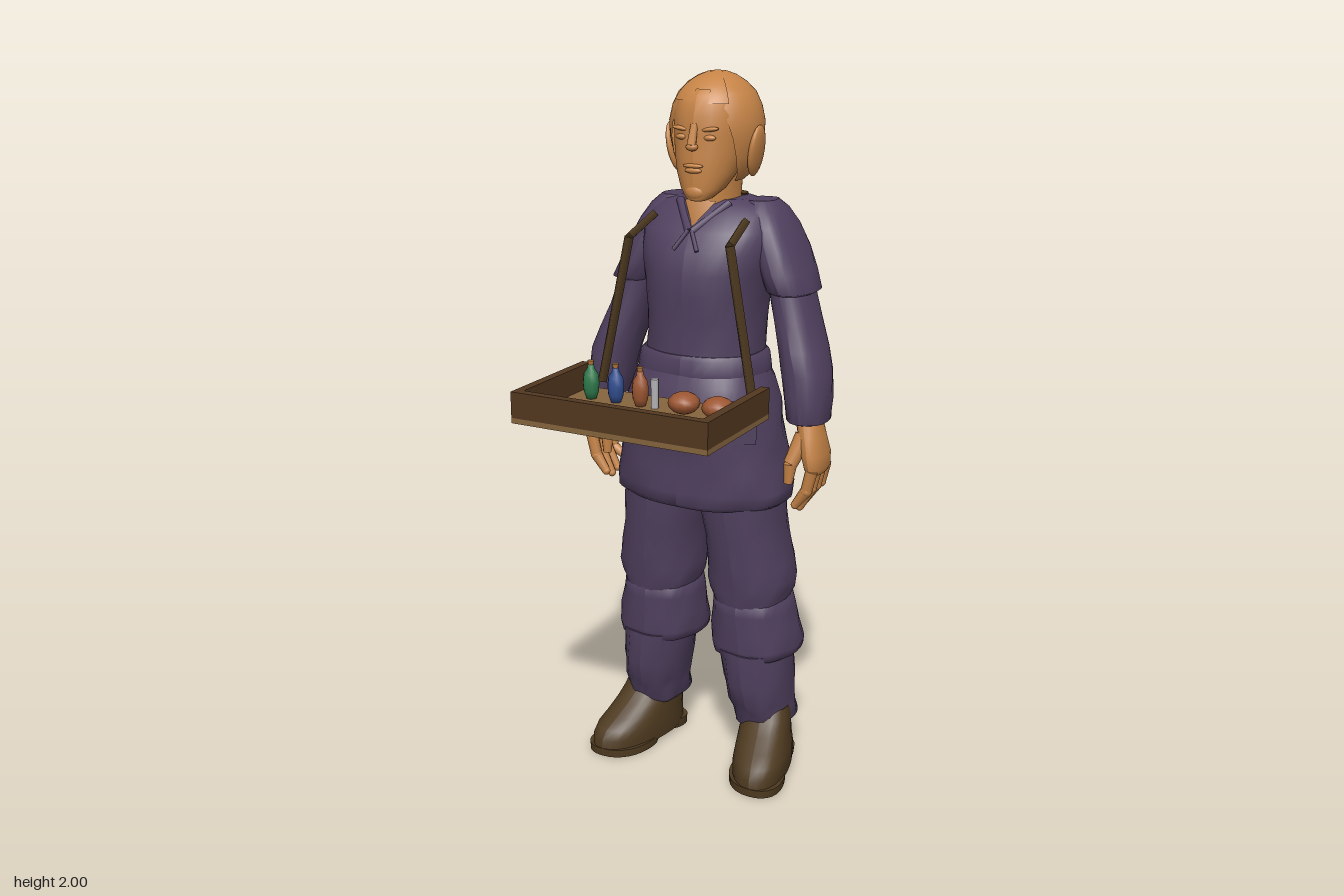
import * as THREE from 'three';

const mat = (name, color, side = THREE.FrontSide) => {
  const m = new THREE.MeshStandardMaterial({ color, side });
  m.name = name;
  return m;
};

// Stacks rings [y, centreX, centreZ, radiusX, radiusZ, frontOpening] from bottom to top.
// s mirrors x, fold adds soft cloth creases, pow squares the rings a little.
function loft(rows, { s = 1, n = 28, fold = 0, pow = 0.88 } = {}) {
  const pos = [], idx = [];
  const open = rows[0].length > 5;
  const sq = (v) => Math.sign(v) * Math.abs(v) ** pow;
  rows.forEach(([y, cx, cz, rx, rz, gap = 0]) => {
    for (let j = 0; j <= n; j++) {
      const a = gap + (2 * Math.PI - 2 * gap) * (j / n);
      const k = 1 + fold * Math.sin(5 * a + y * 31) + fold * 0.6 * Math.sin(9 * a - y * 47);
      pos.push(s * cx + rx * k * sq(Math.sin(a)), y, cz + rz * k * sq(Math.cos(a)));
    }
  });
  const w = n + 1;
  for (let i = 0; i < rows.length - 1; i++) {
    for (let j = 0; j < n; j++) {
      const a = i * w + j;
      idx.push(a, a + 1, a + w + 1, a, a + w + 1, a + w);
    }
  }
  if (!open) {
    [0, rows.length - 1].forEach((r) => {
      const start = pos.length / 3, ring = r * w;
      for (let j = 0; j < w; j++) pos.push(...pos.slice((ring + j) * 3, (ring + j) * 3 + 3));
      pos.push(s * rows[r][1], rows[r][0], rows[r][2]);
      for (let j = 0; j < n; j++) {
        if (r) idx.push(start + j, start + j + 1, start + w);
        else idx.push(start + j + 1, start + j, start + w);
      }
    });
  }
  const g = new THREE.BufferGeometry();
  g.setAttribute('position', new THREE.Float32BufferAttribute(pos, 3));
  g.setIndex(idx);
  g.computeVertexNormals();
  return g;
}

export function createModel() {
  const root = new THREE.Group();
  root.name = 'trayVendor';
  const skin = mat('skin', 0xc68447, THREE.DoubleSide);
  const cloth = mat('purpleCloth', 0x50405f);
  const leather = mat('leather', 0x4e3a20);
  const darkWood = mat('darkWood', 0x533820);
  const wood = mat('wood', 0x86653e);
  const green = mat('greenGlass', 0x2f7a4c);
  const blue = mat('blueGlass', 0x324f91);
  const clay = mat('clay', 0x9c5631);
  const silver = mat('silver', 0xb4b4b8);
  const ochre = mat('ochre', 0xb5783c);

  const add = (name, geo, material, p = [0, 0, 0], r = [0, 0, 0], sc = [1, 1, 1]) => {
    const m = new THREE.Mesh(geo, material);
    m.name = name;
    m.position.set(...p);
    m.rotation.set(...r);
    m.scale.set(...sc);
    root.add(m);
    return m;
  };
  const ball = (name, material, p, sc, r) => add(name, new THREE.SphereGeometry(1, 18, 12), material, p, r, sc);
  // Straight rod between two points
  const rod = (name, material, a, b, r0, r1 = r0, sides = 8) => {
    const A = new THREE.Vector3(...a), B = new THREE.Vector3(...b);
    const m = add(name, new THREE.CylinderGeometry(r1, r0, A.distanceTo(B), sides), material);
    m.position.copy(A).lerp(B, 0.5);
    m.quaternion.setFromUnitVectors(new THREE.Vector3(0, 1, 0), B.sub(A).normalize());
    return m;
  };

  // Tunic: flared skirt, belted waist, chest and shoulders
  add('tunicSkirt', loft([
    [0.83, 0, -0.18, 0.235, 0.16], [0.845, 0, -0.18, 0.256, 0.177], [0.88, 0, -0.18, 0.26, 0.18],
    [0.94, 0, -0.178, 0.25, 0.178], [1.0, 0, -0.17, 0.238, 0.172], [1.06, 0, -0.165, 0.23, 0.174],
    [1.12, 0, -0.163, 0.22, 0.174], [1.18, 0, -0.168, 0.198, 0.162], [1.23, 0, -0.175, 0.175, 0.147],
  ], { n: 48, fold: 0.014 }), cloth);
  add('waistband', loft([
    [1.2, 0, -0.175, 0.178, 0.15], [1.21, 0, -0.175, 0.187, 0.157], [1.25, 0, -0.178, 0.18, 0.153], [1.262, 0, -0.178, 0.168, 0.145],
  ], { n: 40, fold: 0.012 }), cloth);
  add('tunicBody', loft([
    [1.24, 0, -0.178, 0.166, 0.142], [1.3, 0, -0.182, 0.164, 0.144], [1.36, 0, -0.188, 0.164, 0.152],
    [1.42, 0, -0.194, 0.168, 0.162], [1.48, 0, -0.198, 0.178, 0.164], [1.54, 0, -0.205, 0.192, 0.158],
    [1.59, 0, -0.218, 0.195, 0.142], [1.63, 0, -0.235, 0.18, 0.118], [1.655, 0, -0.242, 0.15, 0.096], [1.667, 0, -0.242, 0.1, 0.08],
  ], { n: 40, fold: 0.01 }), cloth);
  // Neckline, lacing, pocket and hanging ties
  add('neckOpening', new THREE.ConeGeometry(0.055, 0.08, 3), skin, [0, 1.632, -0.118], [Math.PI - 0.8, 0, 0], [1, 1, 0.35]);
  add('napeCollar', loft([[1.615, 0, -0.31, 0.03, 0.035], [1.64, 0, -0.302, 0.06, 0.04], [1.672, 0, -0.285, 0.068, 0.045]]), leather);
  for (const s of [1, -1]) {
    rod('collarTie', cloth, [s * 0.005, 1.595, -0.078], [s * 0.035, 1.545, -0.05], 0.006);
    rod('neckHem', cloth, [s * 0.005, 1.59, -0.082], [s * 0.075, 1.66, -0.165], 0.012);
    rod('waistTie', cloth, [s * 0.01, 1.23, -0.325], [s * 0.05, 1.06, -0.333], 0.014, 0.01);
  }
  add('hipPocket', new THREE.BoxGeometry(0.12, 0.11, 0.03), cloth, [0.155, 1.09, -0.045], [0, 0.6, -0.05]);
  add('pocketFlap', new THREE.BoxGeometry(0.128, 0.035, 0.036), cloth, [0.155, 1.135, -0.043], [0, 0.6, -0.05]);

  for (const s of [1, -1]) {
    // Sleeves
    add('shortSleeve', loft([
      [1.425, 0.236, -0.235, 0.056, 0.085], [1.432, 0.238, -0.235, 0.066, 0.1], [1.48, 0.216, -0.242, 0.066, 0.108],
      [1.54, 0.192, -0.25, 0.064, 0.11], [1.6, 0.164, -0.255, 0.06, 0.1], [1.64, 0.142, -0.255, 0.054, 0.08], [1.665, 0.13, -0.255, 0.04, 0.05],
    ], { s, fold: 0.02 }), cloth);
    add('longSleeve', loft([
      [1.085, 0.312, -0.18, 0.045, 0.058], [1.09, 0.314, -0.18, 0.056, 0.07], [1.15, 0.308, -0.188, 0.06, 0.08],
      [1.22, 0.298, -0.2, 0.064, 0.087], [1.28, 0.28, -0.212, 0.062, 0.088], [1.35, 0.256, -0.225, 0.058, 0.086], [1.45, 0.226, -0.238, 0.054, 0.086],
    ], { s, fold: 0.025 }), cloth);
    // Hand with curled fingers
    add('palm', loft([
      [0.945, 0.345, -0.178, 0.02, 0.052], [0.96, 0.345, -0.178, 0.027, 0.062], [1.0, 0.34, -0.175, 0.033, 0.064],
      [1.05, 0.328, -0.175, 0.033, 0.054], [1.1, 0.315, -0.178, 0.034, 0.044],
    ], { s, n: 20 }), skin);
    for (let f = 0; f < 4; f++) {
      const z = -0.13 - f * 0.032, tip = [0.855, 0.84, 0.848, 0.88][f];
      rod('fingerBase', skin, [s * 0.348, 0.96, z], [s * 0.334, 0.9, z], 0.018, 0.017);
      ball('knuckle', skin, [s * 0.334, 0.9, z], [0.017, 0.017, 0.017]);
      rod('fingerTip', skin, [s * 0.334, 0.9, z], [s * 0.302, tip, z], 0.017, 0.012);
      ball('fingerEnd', skin, [s * 0.302, tip, z], [0.012, 0.012, 0.012]);
    }
    rod('thumbBase', skin, [s * 0.315, 1.05, -0.15], [s * 0.29, 0.975, -0.118], 0.026, 0.02);
    rod('thumbTip', skin, [s * 0.29, 0.975, -0.118], [s * 0.287, 0.92, -0.113], 0.019, 0.012);

    // Trouser leg, gathered knee cuff and shin
    add('trouserLeg', loft([
      [0.5, 0.148, -0.2, 0.1, 0.112], [0.54, 0.145, -0.198, 0.108, 0.118], [0.565, 0.145, -0.2, 0.118, 0.124], [0.6, 0.145, -0.2, 0.123, 0.128],
      [0.65, 0.142, -0.196, 0.119, 0.129], [0.73, 0.132, -0.186, 0.112, 0.128], [0.8, 0.124, -0.18, 0.116, 0.13], [0.9, 0.12, -0.18, 0.118, 0.135],
    ], { s, fold: 0.018 }), cloth);
    add('kneeCuff', loft([
      [0.355, 0.155, -0.222, 0.1, 0.11], [0.365, 0.155, -0.225, 0.124, 0.134], [0.39, 0.155, -0.225, 0.13, 0.138],
      [0.44, 0.152, -0.215, 0.125, 0.128], [0.5, 0.148, -0.205, 0.116, 0.122], [0.535, 0.146, -0.2, 0.111, 0.118], [0.545, 0.146, -0.2, 0.09, 0.1],
    ], { s, fold: 0.018 }), cloth);
    add('shin', loft([
      [0.125, 0.18, -0.235, 0.07, 0.09], [0.14, 0.18, -0.238, 0.086, 0.107], [0.18, 0.178, -0.23, 0.083, 0.108],
      [0.21, 0.174, -0.22, 0.088, 0.115], [0.28, 0.168, -0.207, 0.094, 0.122], [0.38, 0.158, -0.207, 0.1, 0.125],
    ], { s, fold: 0.028 }), cloth);

    // Boot with toes turned outward
    const splay = (g) => {
      const p = g.attributes.position;
      for (let i = 0; i < p.count; i++) p.setX(i, p.getX(i) + s * 0.2 * (p.getZ(i) + 0.18));
      g.computeVertexNormals();
      return g;
    };
    add('bootUpper', splay(loft([
      [0.015, 0.205, -0.152, 0.083, 0.167], [0.05, 0.205, -0.152, 0.085, 0.166], [0.075, 0.205, -0.16, 0.083, 0.155],
      [0.1, 0.202, -0.178, 0.079, 0.134], [0.13, 0.2, -0.2, 0.076, 0.108], [0.16, 0.198, -0.218, 0.075, 0.086], [0.19, 0.195, -0.225, 0.074, 0.074],
    ], { s })), leather);
    add('bootSole', splay(loft([[0, 0.205, -0.085, 0.084, 0.1], [0.024, 0.205, -0.085, 0.085, 0.101]], { s })), leather);
    add('bootHeel', splay(loft([[0, 0.205, -0.265, 0.07, 0.058], [0.03, 0.205, -0.262, 0.074, 0.058]], { s })), leather);

    // Shoulder strap in two straight pieces
    const strap = [[0.23, 1.17, 0.002], [0.15, 1.575, -0.015], [0.138, 1.62, -0.13]].map(([x, y, z]) => [s * x, y, z]);
    rod('strapFront', leather, strap[0], strap[1], 0.014, 0.014, 4);
    rod('strapTop', leather, strap[1], strap[2], 0.014, 0.014, 4);
  }

  // Head: neck, face and hair shell
  add('neck', loft([[1.6, 0, -0.225, 0.075, 0.08], [1.66, 0, -0.225, 0.065, 0.085], [1.76, 0, -0.228, 0.068, 0.09]]), skin);
  add('face', loft([
    [1.668, 0, -0.125, 0.02, 0.02], [1.675, 0, -0.13, 0.036, 0.034], [1.7, 0, -0.155, 0.06, 0.06], [1.74, 0, -0.18, 0.08, 0.087],
    [1.79, 0, -0.2, 0.094, 0.106], [1.84, 0, -0.21, 0.1, 0.112], [1.89, 0, -0.215, 0.102, 0.119], [1.94, 0, -0.225, 0.09, 0.112], [1.975, 0, -0.235, 0.055, 0.07],
  ], { pow: 0.95 }), skin);
  add('hair', loft([
    [1.715, 0, -0.232, 0.075, 0.085, 1.2], [1.735, 0, -0.235, 0.098, 0.1, 1.05], [1.78, 0, -0.235, 0.118, 0.115, 0.9],
    [1.83, 0, -0.234, 0.129, 0.123, 0.78], [1.87, 0, -0.234, 0.13, 0.126, 0.68], [1.91, 0, -0.234, 0.121, 0.12, 0.58],
    [1.945, 0, -0.234, 0.104, 0.106, 0.4], [1.97, 0, -0.234, 0.079, 0.082, 0], [1.988, 0, -0.234, 0.05, 0.054, 0],
    [1.997, 0, -0.234, 0.025, 0.028, 0], [2.0, 0, -0.234, 0.001, 0.001, 0],
  ], { n: 36, pow: 1 }), skin);
  // Curved fringe locks over the brow
  const lock = (from, to, low) => add('fringe', new THREE.SphereGeometry(1, 10, 6, Math.PI / 2 + from, to - from, 0.25, low - 0.25),
    skin, [0, 1.857, -0.234], [0, 0, 0], [0.134, 0.142, 0.145]);
  lock(-0.75, -0.1, 1.05);
  lock(-0.1, 0.3, 0.8);
  lock(0.3, 0.75, 1.1);
  rod('noseBridge', skin, [0, 1.87, -0.102], [0, 1.815, -0.084], 0.01, 0.013);
  ball('noseTip', skin, [0, 1.812, -0.087], [0.017, 0.011, 0.013]);
  ball('upperLip', skin, [0, 1.762, -0.094], [0.03, 0.006, 0.008]);
  ball('lowerLip', skin, [0, 1.75, -0.095], [0.025, 0.008, 0.009]);
  ball('chin', skin, [0, 1.692, -0.107], [0.028, 0.022, 0.016]);
  for (const s of [1, -1]) {
    ball('eye', skin, [s * 0.04, 1.835, -0.109], [0.019, 0.008, 0.01]);
    ball('brow', skin, [s * 0.042, 1.857, -0.107], [0.028, 0.006, 0.01], [0, 0, s * 0.12]);
    ball('ear', skin, [s * 0.122, 1.795, -0.225], [0.015, 0.07, 0.042], [0.1, 0, s * -0.18]);
  }

  // Tray, open at the back
  add('trayFloor', new THREE.BoxGeometry(0.57, 0.015, 0.35), wood, [0, 1.146, 0.192]);
  add('trayFront', new THREE.BoxGeometry(0.57, 0.07, 0.025), darkWood, [0, 1.188, 0.3545]);
  for (const s of [1, -1]) add('traySide', new THREE.BoxGeometry(0.025, 0.07, 0.325), darkWood, [s * 0.2725, 1.188, 0.1795]);

  // Wares on the tray
  const flask = [[0, 0], [0.014, 0], [0.021, 0.02], [0.023, 0.045], [0.02, 0.068], [0.01, 0.084], [0.009, 0.094], [0, 0.094]].map(([x, y]) => new THREE.Vector2(x, y));
  [[-0.197, green], [-0.12, blue], [-0.045, clay]].forEach(([x, m]) => {
    add('flask', new THREE.LatheGeometry(flask, 10), m, [x, 1.154, 0.115]);
    add('stopper', new THREE.CylinderGeometry(0.009, 0.007, 0.012, 8), ochre, [x, 1.253, 0.115]);
  });
  add('vial', new THREE.CylinderGeometry(0.011, 0.011, 0.08, 8), silver, [-0.001, 1.193, 0.115]);
  for (const x of [0.086, 0.185]) add('clayPot', new THREE.SphereGeometry(0.043, 12, 8), clay, [x, 1.18, 0.115], [0, 0, 0], [1, 0.68, 1]);
  [[0.255, clay], [0.282, ochre], [0.309, blue]].forEach(([z, m]) => rod('crayon', m, [-0.22, 1.162, z - 0.01], [0, 1.162, z + 0.01], 0.008));
  rod('spoonHandle', silver, [0.055, 1.162, 0.277], [0.2, 1.162, 0.297], 0.006);
  ball('spoonBowl', silver, [0.217, 1.162, 0.3], [0.022, 0.008, 0.015]);
  return root;
}
